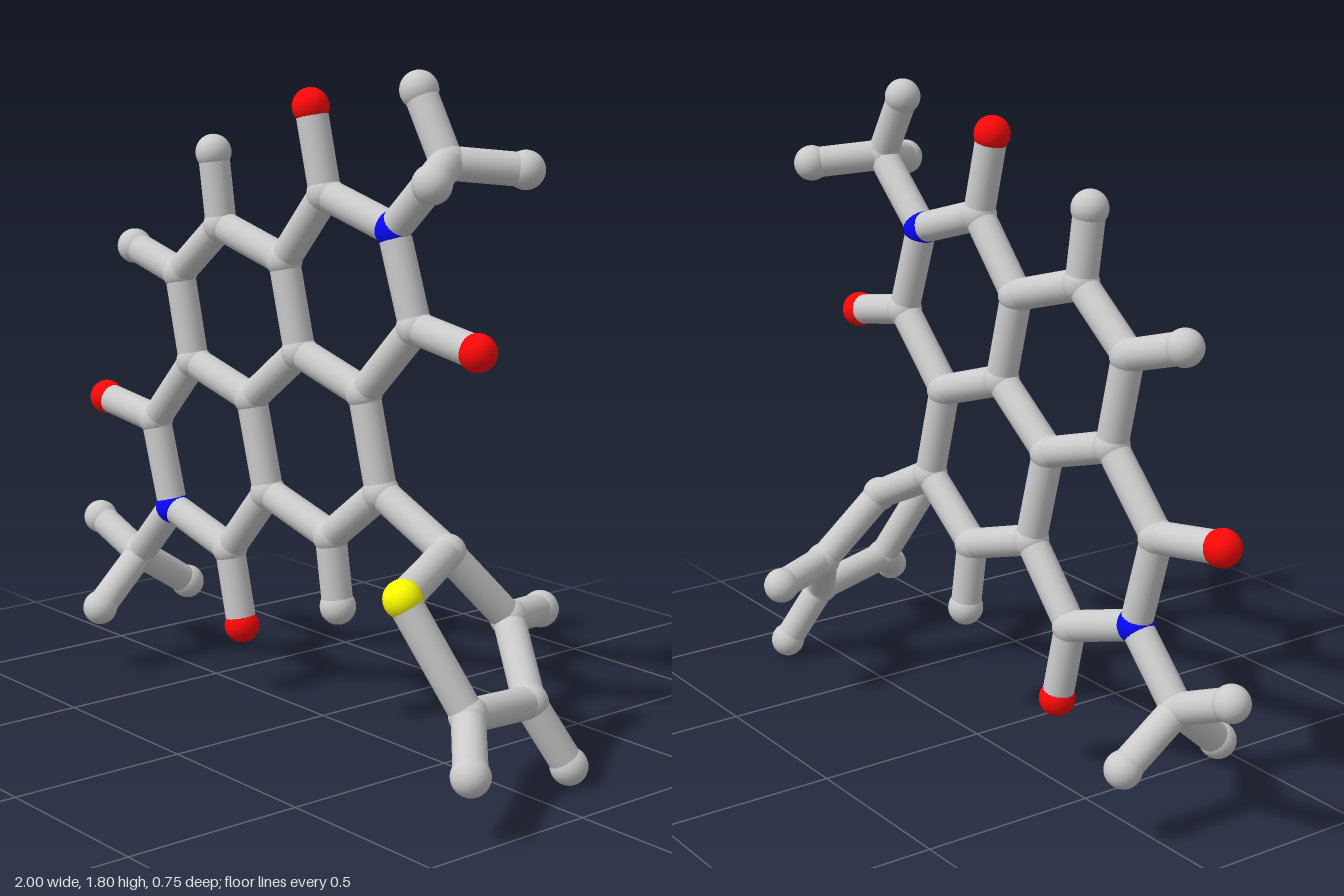
import * as THREE from 'three';

const BALL = 0.05;
const STICK = 0.043;
const UP = new THREE.Vector3(0, 1, 0);

const materials = {
  carbon: new THREE.MeshStandardMaterial({ color: 0xcccccc }),
  hydrogen: new THREE.MeshStandardMaterial({ color: 0xcccccc }),
  oxygen: new THREE.MeshStandardMaterial({ color: 0xff0808 }),
  nitrogen: new THREE.MeshStandardMaterial({ color: 0x0808ff }),
  sulfur: new THREE.MeshStandardMaterial({ color: 0xffff00 }),
};
const elements = { C: 'carbon', H: 'hydrogen', O: 'oxygen', N: 'nitrogen', S: 'sulfur' };

// The flat core lies in a slightly tilted plane
const planeZ = (x, y) => 0.027 - 0.064 * x + 0.04 * y;

// Atom positions; the first letter of each key is the element, z defaults to the core plane
const atoms = {
  // fused ring core
  C1: [-0.32, 1.36], C2: [-0.51, 1.21], C3: [-0.465, 0.96], C4: [-0.22, 0.885],
  C5: [-0.015, 1.04], C6: [-0.065, 1.285], C7: [0.105, 1.475], C8: [0.425, 1.155],
  C9: [0.23, 0.96], C10: [0.285, 0.7], C11: [0.085, 0.545], C12: [-0.165, 0.625],
  C13: [-0.34, 0.43], C14: [-0.65, 0.765], N1: [0.355, 1.4], N2: [-0.59, 0.51],
  // atoms on the rim
  O1: [0.06, 1.7], O2: [0.64, 1.115], O3: [-0.3, 0.21], O4: [-0.88, 0.8],
  H1: [-0.34, 1.56], H2: [-0.71, 1.27], H3: [0.105, 0.35],
  // upper methyl group
  C15: [0.55, 1.58, 0.058], H4: [0.457, 1.755, 0.068],
  H5: [0.667, 1.543, 0.213], H6: [0.647, 1.56, -0.118],
  // lower methyl group
  C16: [-0.76, 0.335, 0.088], H7: [-0.95, 0.415, 0.1],
  H8: [-0.74, 0.2, 0.247], H9: [-0.765, 0.217, -0.09],
  // five-sided side ring
  C17: [0.52, 0.58, 0.015], S1: [0.67, 0.54, 0.3], C18: [0.81, 0.26, 0.208],
  C19: [0.76, 0.228, -0.05], C20: [0.578, 0.39, -0.15],
  H10: [0.945, 0.17, 0.325], H11: [0.818, 0.055, -0.138], H12: [0.515, 0.368, -0.33],
};

// Chains of bonded atoms
const chains = [
  'C1 C2 C3 C4 C5 C6 C1', 'C6 C7 N1 C8 C9 C5', 'C9 C10 C11 C12 C4',
  'C12 C13 N2 C14 C3', 'C7 O1', 'C8 O2', 'C13 O3', 'C14 O4', 'C1 H1', 'C2 H2', 'C11 H3',
  'N1 C15 H4', 'H5 C15 H6', 'N2 C16 H7', 'H8 C16 H9',
  'C10 C17 S1 C18 C19 C20 C17', 'C18 H10', 'C19 H11', 'C20 H12',
];

export function createModel() {
  const model = new THREE.Group();
  model.name = 'molecule';
  const ballGeometry = new THREE.SphereGeometry(BALL, 24, 16);
  const points = {};

  // Atom balls
  for (const [key, [x, y, z = planeZ(x, y)]] of Object.entries(atoms)) {
    const element = elements[key[0]];
    points[key] = new THREE.Vector3(x, y, z);
    const ball = new THREE.Mesh(ballGeometry, materials[element]);
    ball.name = `${element}Atom${key.slice(1)}`;
    ball.position.copy(points[key]);
    model.add(ball);
  }

  // Bond sticks between neighbouring atoms
  for (const chain of chains) {
    const keys = chain.split(' ');
    for (let i = 1; i < keys.length; i++) {
      const a = points[keys[i - 1]];
      const b = points[keys[i]];
      const direction = b.clone().sub(a);
      const stick = new THREE.Mesh(
        new THREE.CylinderGeometry(STICK, STICK, direction.length(), 20),
        materials.carbon,
      );
      stick.name = `bond${keys[i - 1]}to${keys[i]}`;
      stick.position.copy(a).add(b).multiplyScalar(0.5);
      stick.quaternion.setFromUnitVectors(UP, direction.normalize());
      model.add(stick);
    }
  }
  return model;
}
